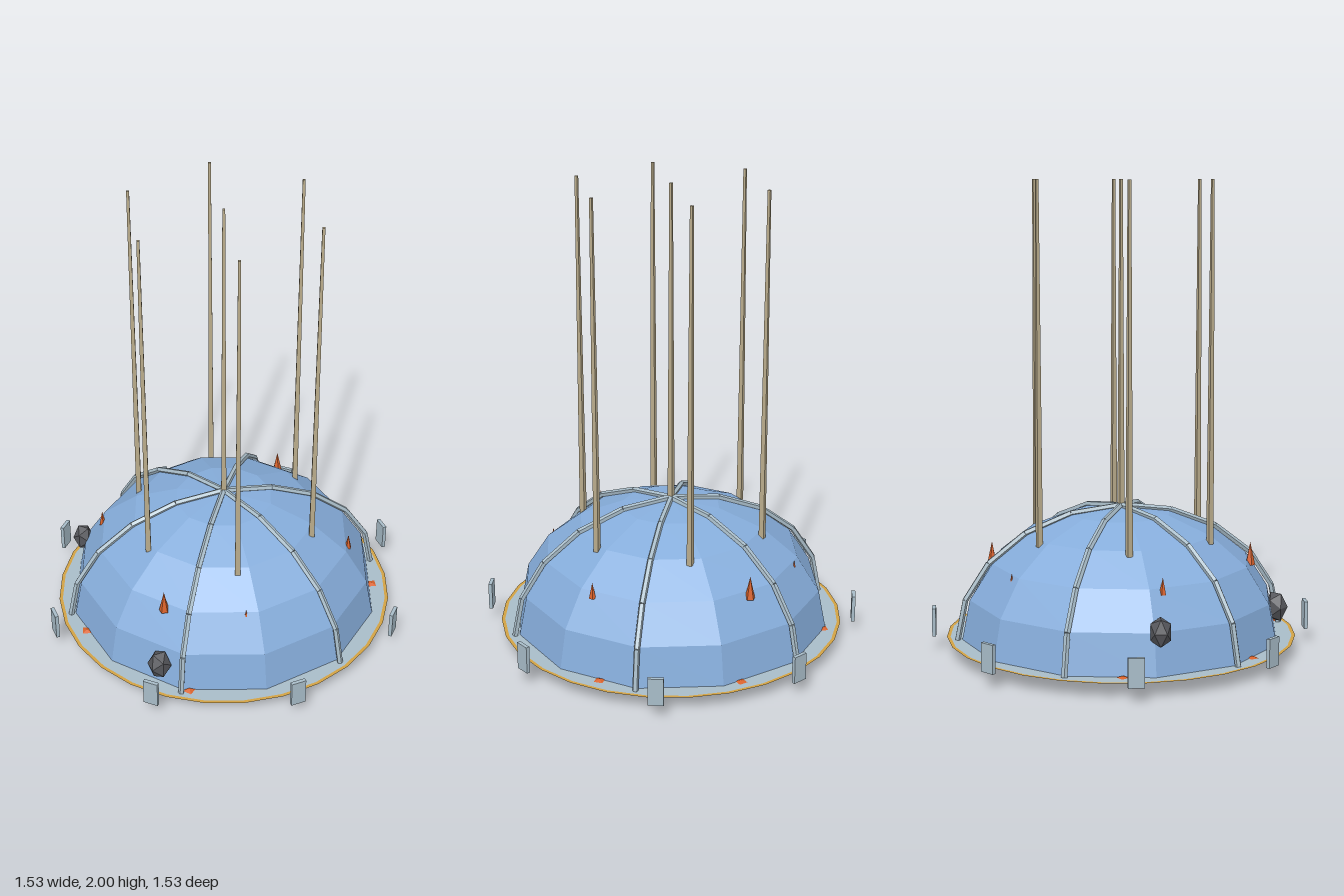
import * as THREE from 'three';

const mat = (name, color, side = THREE.FrontSide) =>
  Object.assign(new THREE.MeshStandardMaterial({ color, side, flatShading: true }), { name });

export function createModel() {
  const blue = mat('dome blue', 0x86addb, THREE.DoubleSide);
  const steel = mat('pale steel', 0xa8bcc8, THREE.DoubleSide);
  const gold = mat('gold', 0xd2a244, THREE.DoubleSide);
  const orange = mat('burnt orange', 0xd9622b, THREE.DoubleSide);
  const stone = mat('dark stone', 0x56575c);
  const tan = mat('tan', 0xb9ab8b);

  const model = new THREE.Group();
  const BASE = 0.06;
  const add = (name, geo, material, x = 0, y = 0, z = 0) => {
    const mesh = new THREE.Mesh(geo, material);
    mesh.name = name;
    mesh.position.set(x, y, z);
    model.add(mesh);
    return mesh;
  };
  const ring = (name, inner, outer, y, material) =>
    add(name, new THREE.RingGeometry(inner, outer, 28).rotateX(-Math.PI / 2), material, 0, y);

  // Faceted dome shell, open underneath
  const shell = new THREE.SphereGeometry(0.69, 12, 5, 0, Math.PI * 2, 0, Math.PI / 2);
  add('dome', shell.scale(1, 0.55 / 0.69, 1), blue, 0, BASE);

  // Flat rim and underside
  ring('rim', 0.6, 0.737, BASE, steel);
  ring('rimEdge', 0.737, 0.752, BASE, gold);
  ring('undersideBand', 0.63, 0.68, BASE - 0.004, gold);
  ring('floor', 0.215, 0.63, BASE - 0.004, orange);
  ring('hubRing', 0.205, 0.22, BASE - 0.006, gold);

  // Pitched blades in the floor opening
  for (let i = 0; i < 10; i++) {
    const pivot = new THREE.Group();
    pivot.name = 'hubBlade';
    pivot.position.y = BASE;
    pivot.rotation.y = (i * Math.PI) / 5;
    const blade = new THREE.Mesh(new THREE.BoxGeometry(0.17, 0.004, 0.03), i % 2 ? steel : orange);
    blade.name = 'blade';
    blade.position.x = 0.115;
    blade.rotation.x = 0.6;
    pivot.add(blade);
    model.add(pivot);
  }

  // Six segmented ribs that follow the dome facets
  const up = new THREE.Vector3(0, 1, 0);
  for (let k = 0; k < 6; k++) {
    const a = (k * Math.PI) / 3;
    const at = (i) => {
      const t = (i * Math.PI) / 10, r = 0.71 * Math.sin(t);
      return new THREE.Vector3(r * Math.cos(a), BASE + 0.556 * Math.cos(t), r * Math.sin(a));
    };
    for (let i = 0; i < 5; i++) {
      const p = at(i), q = at(i + 1);
      const mid = p.clone().add(q).multiplyScalar(0.5);
      const bar = add('rib', new THREE.CylinderGeometry(0.013, 0.013, p.distanceTo(q), 5), steel, mid.x, mid.y, mid.z);
      bar.quaternion.setFromUnitVectors(up, q.sub(p).normalize());
    }
  }

  // Tapered masts: one central, six around
  const mast = (x, z, bottom) =>
    add('mast', new THREE.CylinderGeometry(0.008, 0.016, 2 - bottom, 4), tan, x, (2 + bottom) / 2, z);
  mast(0, 0, 0.59);
  for (let k = 0; k < 6; k++) {
    const a = (k * Math.PI) / 3 - 0.4;
    mast(0.413 * Math.cos(a), 0.413 * Math.sin(a), 0.485);
  }

  // Eight plates standing outside the rim
  for (let k = 0; k < 8; k++) {
    const a = ((k + 0.5) * Math.PI) / 4;
    const plate = add('rimPlate', new THREE.BoxGeometry(0.065, 0.12, 0.016), steel,
      0.806 * Math.sin(a), 0.12, 0.806 * Math.cos(a));
    plate.rotation.y = a;
  }

  // Stones stuck to the shell
  for (const [x, y, z, s] of [[-0.56, 0.235, 0.35, 1], [0.24, 0.16, 0.63, 1.08]]) {
    const rock = add('stone', new THREE.IcosahedronGeometry(0.048, 0), stone, x, y, z);
    rock.scale.set(s, 1.36 * s, s);
    rock.rotation.y = x * 5;
  }

  // Orange spikes on the shell
  const spikes = [[-0.17, -0.53, 0.1], [0.17, 0.53, 0.1], [-0.45, 0.325, 0.07],
    [0.45, -0.33, 0.07], [0.45, 0.32, 0.035], [-0.45, -0.325, 0.03]];
  for (const [x, z, h] of spikes) {
    const spike = add('shellSpike', new THREE.ConeGeometry(h * 0.22, h, 5), orange, x, 0.365 + h * 0.4, z);
    spike.rotation.y = x * 9;
  }

  // Small flakes lying on the rim
  for (const [x, z] of [[-0.08, -0.68], [0.47, -0.49], [-0.58, -0.36], [-0.64, 0.22], [-0.22, 0.64], [0.37, 0.58]]) {
    const flake = add('rimFlake', new THREE.ConeGeometry(0.026, 0.008, 4), orange, x, BASE + 0.005, z);
    flake.rotation.y = x * 7;
  }

  // Flared shards hanging below the floor
  const shard = new THREE.LatheGeometry(
    [[0, 0.02], [0.034, 0.008], [0.02, 0.03], [0.008, 0.06]].map(([r, y]) => new THREE.Vector2(r, y)), 5);
  const hanging = [[0.27, -0.37], [0.12, -0.42], [0.29, -0.09], [-0.03, -0.32], [0.37, 0.22],
    [-0.11, 0.44], [0.09, 0.46], [-0.35, 0.19], [-0.43, 0.01], [-0.32, -0.28],
    [-0.47, -0.28], [-0.21, -0.26], [0.44, 0.03], [0.24, 0.4], [-0.14, 0.57], [0.22, 0.1]];
  hanging.forEach(([x, z], i) => {
    const s = add('hangingShard', shard, orange, x, 0, z);
    s.rotation.set(0.2 * Math.sin(i * 2.1), i * 1.3, 0.2 * Math.cos(i * 1.7));
  });

  return model;
}
